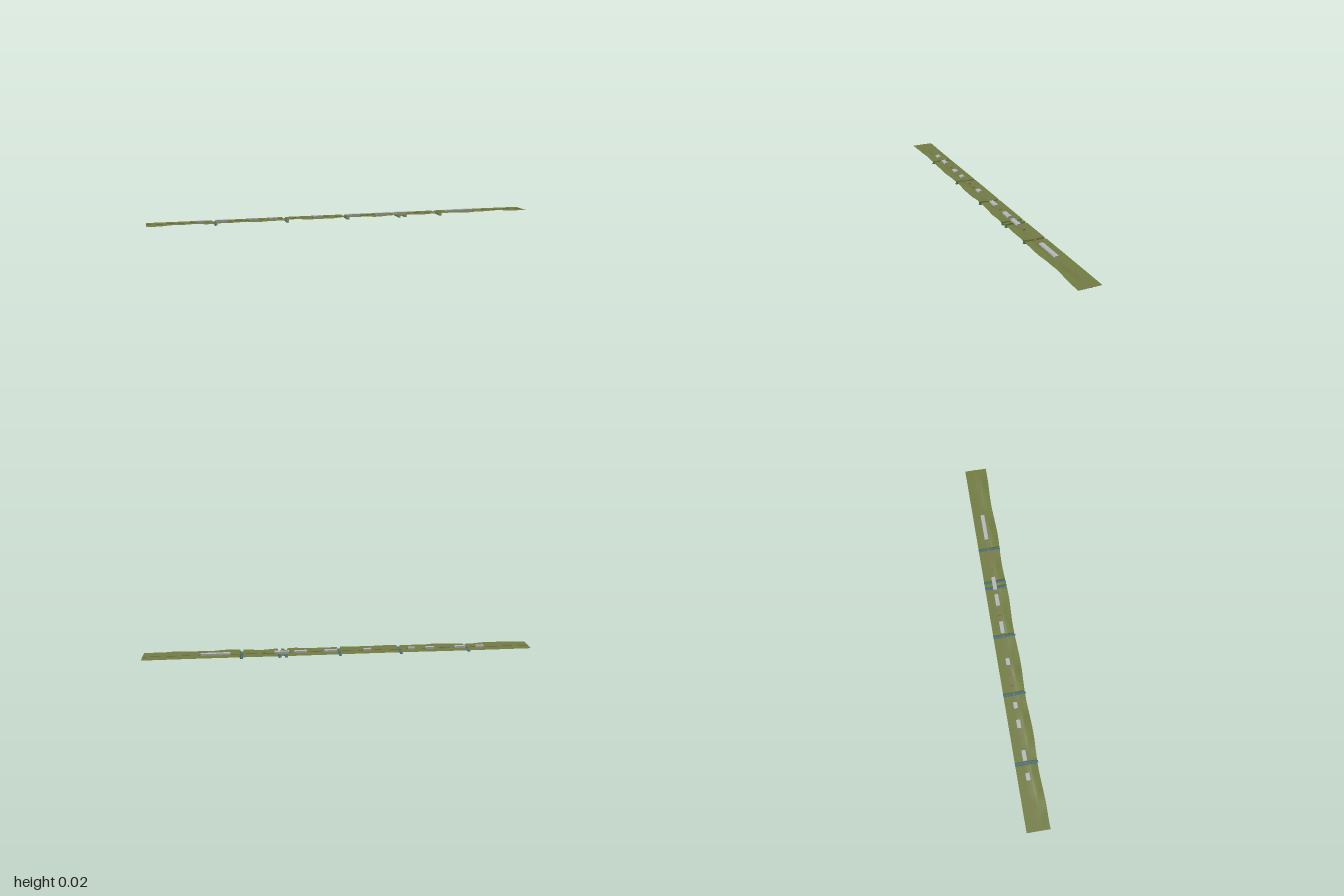
import * as THREE from 'three';
import { toCreasedNormals } from 'three/addons/utils/BufferGeometryUtils.js';

const mat = (name, color, side = THREE.FrontSide) =>
  Object.assign(new THREE.MeshStandardMaterial({ color, side }), { name });

// Ground height: level behind the line, rolling banks in front of it
function ground(x, z) {
  const back = 0.0085 - 0.0005 * Math.sin(7 * x);
  const ends = THREE.MathUtils.smoothstep(1 - Math.abs(x), 0, 0.12);
  const rise = THREE.MathUtils.smoothstep(z, 0.002, 0.02);
  const roll = 0.5 + 0.3 * Math.sin(23 * x + 30 * z) + 0.2 * Math.sin(51 * x - 60 * z);
  return back + ends * rise * roll * (0.006 - 0.02 * Math.max(0, z - 0.02));
}

// Wavy front border of the land, straight at both ends
function frontEdge(x) {
  const ends = THREE.MathUtils.smoothstep(1 - Math.abs(x), 0, 0.1);
  return 0.058 - ends * 0.003 * (1 + Math.sin(17 * x + 1));
}

export function createModel() {
  const model = new THREE.Group();
  const grass = mat('grass', 0x707c42, THREE.DoubleSide);
  const water = mat('water', 0x3f6f82);
  const concrete = mat('concrete', 0xb4b7bb);
  const trackBrown = mat('trackBrown', 0x8a705a);

  const add = (name, geometry, material, x = 0, y = 0, z = 0) => {
    const mesh = new THREE.Mesh(geometry, material);
    mesh.name = name;
    mesh.position.set(x, y, z);
    model.add(mesh);
  };
  const box = (name, material, x0, x1, y0, y1, z0, z1) =>
    add(name, new THREE.BoxGeometry(x1 - x0, y1 - y0, z1 - z0), material,
      (x0 + x1) / 2, (y0 + y1) / 2, (z0 + z1) / 2);

  const lineZ = -0.006;
  const channels = [-0.67, -0.315, 0, 0.275, 0.308, 0.502];
  const topHalf = 0.009, bottomHalf = 0.006;

  // Land sections, each folding down into the channels beside it
  const limits = [-1, ...channels, 1];
  for (let s = 0; s < limits.length - 1; s++) {
    const first = s === 0, last = s === limits.length - 2;
    const a = limits[s] + (first ? 0 : topHalf);
    const b = limits[s + 1] - (last ? 0 : topHalf);
    const n = Math.max(2, Math.ceil((b - a) / 0.015));
    const stations = [];
    if (!first) stations.push([limits[s] + bottomHalf, 0]);
    for (let i = 0; i <= n; i++) stations.push([a + (b - a) * i / n, 1]);
    if (!last) stations.push([limits[s + 1] - bottomHalf, 0]);
    const rows = 14;
    const land = new THREE.PlaneGeometry(1, 1, stations.length - 1, rows).rotateX(-Math.PI / 2);
    const p = land.attributes.position;
    for (let i = 0; i < p.count; i++) {
      const [x, top] = stations[i % stations.length];
      const row = Math.floor(i / stations.length) / rows;
      const z = THREE.MathUtils.lerp(-0.058, frontEdge(x), row);
      p.setXYZ(i, x, top * ground(x, z), z);
    }
    add('land', toCreasedNormals(land, 0.5), grass);
  }

  // Water in the channels
  for (const x of channels)
    box('water', water, x - bottomHalf, x + bottomHalf, 0, 0.0015, -0.058, 0.057);

  // Track along the whole strip
  box('track', trackBrown, -1, 1, 0.0072, 0.0102, lineZ - 0.002, lineZ + 0.002);

  // Station blocks on the line
  const stationSpans = [
    [-0.757, -0.72], [-0.66, -0.607], [-0.495, -0.452], [-0.393, -0.361], [-0.163, -0.126],
    [0.013, 0.078], [0.168, 0.233], [0.26, 0.334], [0.559, 0.708],
  ];
  for (const [x0, x1] of stationSpans)
    box('station', concrete, x0, x1, 0.006, 0.018, lineZ - 0.01, lineZ + 0.01);

  // Small halts between the stations
  for (const x of [-0.535, -0.265, -0.21, 0.12, 0.385])
    box('halt', trackBrown, x - 0.005, x + 0.005, 0.007, 0.014, lineZ - 0.006, lineZ + 0.006);

  return model;
}
